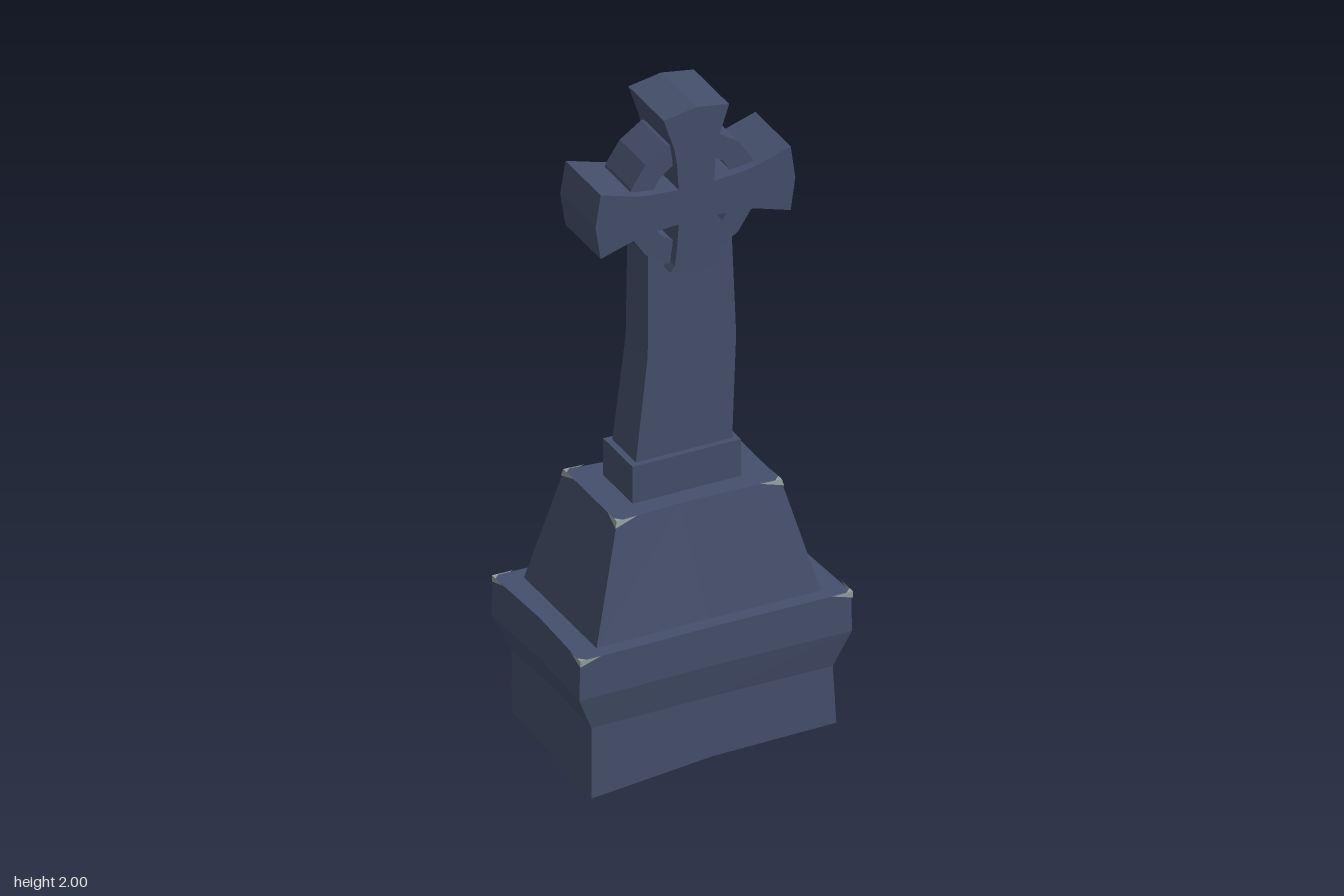
import * as THREE from 'three';

const stone = new THREE.MeshStandardMaterial({ color: 0x454f6b });
stone.name = 'slate stone';
const worn = new THREE.MeshStandardMaterial({ color: 0x939d9f, side: THREE.DoubleSide });
worn.name = 'worn edge';

// Faceted mesh from a flat list of triangle corners
function facets(name, points, material) {
  const geometry = new THREE.BufferGeometry();
  geometry.setAttribute('position', new THREE.Float32BufferAttribute(points.flat(), 3));
  geometry.computeVertexNormals();
  const mesh = new THREE.Mesh(geometry, material);
  mesh.name = name;
  return mesh;
}

// Eight-point rectangle whose side midpoints are pinched inwards.
// pinch = [front, right, back, left]; y is a number or a rule of (x, z)
function section(y, x0, x1, z0, z1, pinch = [0, 0, 0, 0], xm = 0) {
  const [f, r, b, l] = pinch;
  const zm = (z0 + z1) / 2;
  const corners = [
    [x0, z1], [xm, z1 - f], [x1, z1], [x1 - r, zm],
    [x1, z0], [xm, z0 + b], [x0, z0], [x0 + l, zm],
  ];
  return corners.map(([x, z]) => [x, typeof y === 'function' ? y(x, z) : y, z]);
}

// Closed loft through sections listed from bottom to top
function loft(name, sections) {
  const tris = [];
  const n = 8;
  for (let s = 0; s < sections.length - 1; s++) {
    const a = sections[s], b = sections[s + 1];
    for (let i = 0; i < n; i++) {
      const j = (i + 1) % n;
      tris.push(a[i], a[j], b[j], a[i], b[j], b[i]);
    }
  }
  const middle = (ring) => [0, 1, 2].map((k) => ring.reduce((t, p) => t + p[k], 0) / n);
  const low = sections[0], high = sections[sections.length - 1];
  const lowMid = middle(low), highMid = middle(high);
  for (let i = 0; i < n; i++) {
    const j = (i + 1) % n;
    tris.push(lowMid, low[j], low[i], highMid, high[i], high[j]);
  }
  return facets(name, tris, stone);
}

// Thin worn flakes on the four top corners of a tier
function wornCorners(name, x, y, z, slopeX, slopeZ, inset) {
  const group = new THREE.Group();
  group.name = name;
  const d = 0.002, drop = 0.02, long = 0.065, short = 0.02;
  for (const sx of [-1, 1]) {
    for (const sz of [-1, 1]) {
      const at = (px, py, pz) => [sx * px, py, sz * pz];
      const X = x + d, Y = y + d, Z = z + d;
      const corner = at(X, Y, Z);
      const below = at(X + slopeX * drop, Y - drop, Z + slopeZ * drop);
      const alongX = at(X - long, Y, Z - inset);
      const alongZ = at(X - inset, Y, Z - long);
      group.add(facets('wornFlake', [
        corner, below, alongX,
        corner, below, alongZ,
        corner, at(X - short, Y, Z), at(X, Y, Z - short),
      ], worn));
    }
  }
  return group;
}

// Flat outline extruded between two depths
function slab(name, shape, z0, z1) {
  const geometry = new THREE.ExtrudeGeometry(shape, {
    depth: z1 - z0, bevelEnabled: false, curveSegments: 1,
  });
  geometry.translate(0, 0, z0);
  const mesh = new THREE.Mesh(geometry, stone);
  mesh.name = name;
  return mesh;
}

export function createModel() {
  const model = new THREE.Group();
  model.name = 'stoneCrossMonument';

  // Base with an uneven underside and an overhanging upper band
  const underside = (x, z) => {
    if (z > 0.1) return x < -0.1 ? 0 : x < 0.1 ? 0.035 : 0.04;
    return x < -0.1 && z > -0.1 ? 0.015 : 0.027;
  };
  model.add(loft('base', [
    section(underside, -0.37, 0.377, -0.238, 0.24),
    section(0.22, -0.37, 0.367, -0.235, 0.238, [0.004, 0.008, 0.004, 0.008]),
    section(0.33, -0.419, 0.413, -0.262, 0.262, [0.006, 0.012, 0.008, 0.01]),
    section(0.452, -0.415, 0.413, -0.26, 0.26, [0.005, 0.013, 0.006, 0.01]),
  ]));
  model.add(wornCorners('baseWornCorners', 0.414, 0.452, 0.26, 0, 0, 0.001));

  // Tapered tier
  model.add(loft('taperedTier', [
    section(0.45, -0.343, 0.343, -0.216, 0.216, [0.003, 0.014, 0.004, 0]),
    section(0.795, -0.25, 0.25, -0.158, 0.157, [0.011, 0.002, 0.019, 0], -0.05),
  ]));
  model.add(wornCorners('tierWornCorners', 0.25, 0.795, 0.157, 0.266, 0.17, 0.003));

  // Collar and leaning shaft
  model.add(loft('collar', [
    section(0.78, -0.168, 0.165, -0.085, 0.09),
    section(0.91, -0.168, 0.163, -0.085, 0.09),
  ]));
  model.add(loft('shaft', [
    section(0.9, -0.15, 0.145, -0.068, 0.072),
    section(1.23, -0.11, 0.16, -0.064, 0.067, [0, 0, 0, 0], 0.025),
    section(1.56, -0.108, 0.147, -0.058, 0.065, [0, 0, 0, 0], 0.02),
  ]));

  // Ring with sixteen sides
  const cx = 0.018, cy = 1.7, sides = 16;
  const circle = (r) => Array.from({ length: sides }, (_, i) => {
    const a = (i / sides) * Math.PI * 2;
    return new THREE.Vector2(cx + r * Math.cos(a), cy + r * Math.sin(a));
  });
  const ring = new THREE.Shape(circle(0.2));
  ring.holes.push(new THREE.Path(circle(0.132)));
  model.add(slab('ring', ring, -0.074, 0.08));

  // Cross with four flared arms: each is [tip corner, tip middle, half width]
  const arms = [
    [0.288, 0.302, 0.1],
    [0.283, 0.3, 0.1],
    [0.292, 0.308, 0.1],
    [0.2, 0.218, 0.08],
  ];
  const outline = [];
  arms.forEach(([tip, mid, half], i) => {
    const a = (i * Math.PI) / 2;
    const half0 = 0.054;
    const points = [
      [half0, -half0], [0.13, -0.059], [0.18, -0.066], [tip, -half],
      [mid, 0], [tip, half], [0.18, 0.066], [0.13, 0.059],
    ];
    for (const [u, v] of points) {
      outline.push(new THREE.Vector2(
        cx + u * Math.cos(a) - v * Math.sin(a),
        cy + u * Math.sin(a) + v * Math.cos(a),
      ));
    }
  });
  model.add(slab('cross', new THREE.Shape(outline), -0.103, 0.107));

  return model;
}
